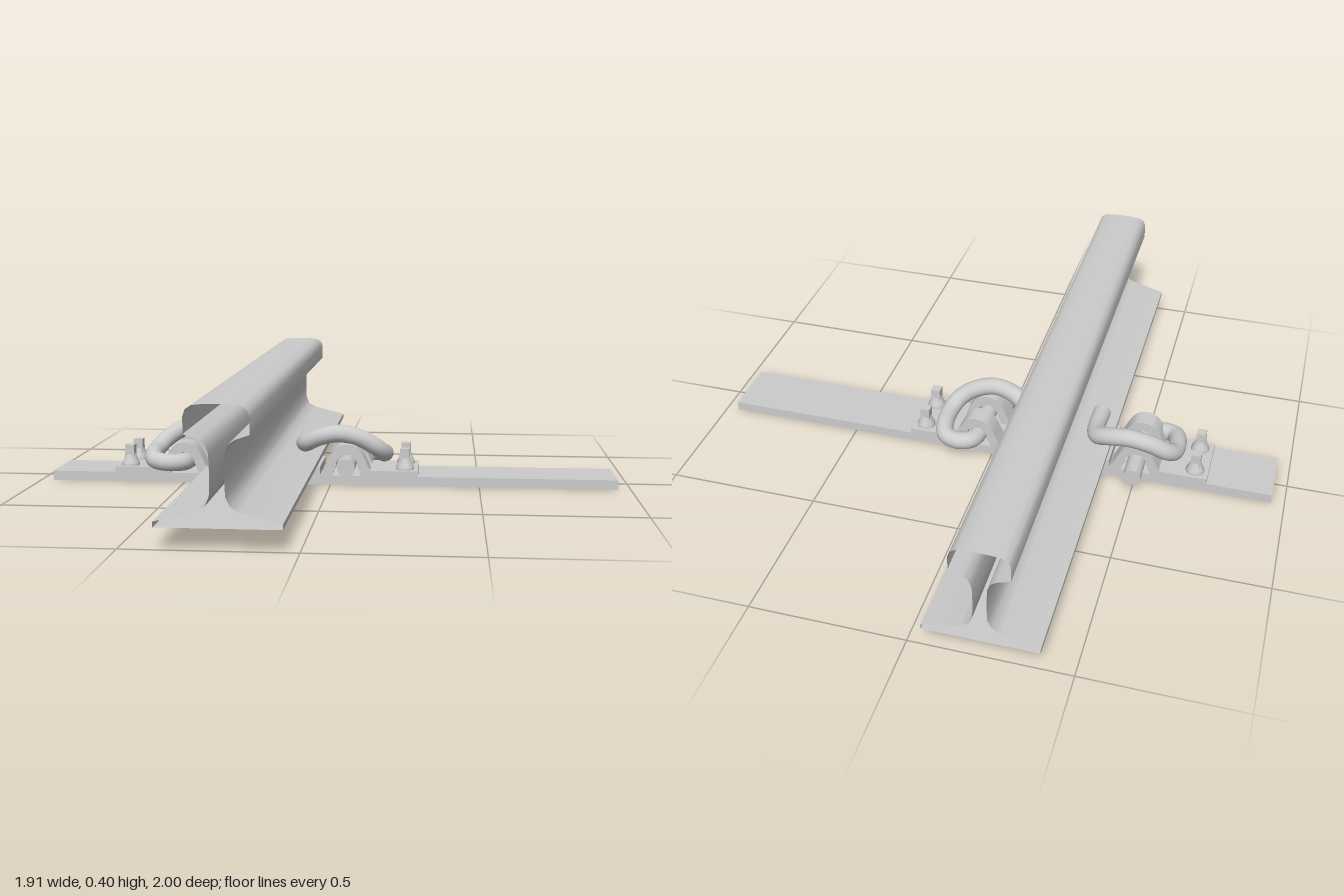
import * as THREE from 'three';
import { toCreasedNormals } from 'three/addons/utils/BufferGeometryUtils.js';

const grey = new THREE.MeshStandardMaterial({ color: 0xcccccc });
const greyOpen = new THREE.MeshStandardMaterial({ color: 0xcccccc, side: THREE.DoubleSide });
const RAIL_X = -0.2225;

function add(parent, name, geometry, x = 0, y = 0, z = 0, material = grey) {
  const mesh = new THREE.Mesh(geometry, material);
  mesh.name = name;
  mesh.position.set(x, y, z);
  parent.add(mesh);
  return mesh;
}

// Box given by its extents
function block(parent, name, x0, x1, y0, y1, z0, z1) {
  return add(parent, name, new THREE.BoxGeometry(x1 - x0, y1 - y0, z1 - z0),
    (x0 + x1) / 2, (y0 + y1) / 2, (z0 + z1) / 2);
}

// Rail: mirrored half profile swept along z, open at both ends
function railGeometry() {
  const s = new THREE.Shape();
  const half = m => [
    [0.1775, 0.062], [0.1775, 0.078], [0.06, 0.108], [0.034, 0.122], [0.022, 0.15],
    [0.02, 0.2], [0.022, 0.265], [0.032, 0.292], [0.05, 0.304], [0.09, 0.318],
    [0.09, 0.365], [0.083, 0.385], [0.066, 0.396], [0.03, 0.4],
  ].map(([x, y]) => new THREE.Vector2(m * x, y));
  s.setFromPoints([...half(1), ...half(-1).reverse()]);
  const full = new THREE.ExtrudeGeometry(s, { depth: 2, bevelEnabled: false });
  const walls = full.groups[1];
  const open = new THREE.BufferGeometry();
  const p = full.attributes.position.array;
  open.setAttribute('position', new THREE.BufferAttribute(
    p.slice(walls.start * 3, (walls.start + walls.count) * 3), 3));
  return toCreasedNormals(open.translate(0, 0, -1), 0.75);
}

// Strap that arches over the clip's pin, with flared feet
function archGeometry(depth) {
  const s = new THREE.Shape();
  s.moveTo(-0.095, 0.03);
  s.lineTo(-0.08, 0.048);
  s.bezierCurveTo(-0.055, 0.1, -0.045, 0.138, 0, 0.138);
  s.bezierCurveTo(0.045, 0.138, 0.055, 0.1, 0.08, 0.048);
  s.lineTo(0.095, 0.03);
  s.lineTo(0.05, 0.03);
  s.lineTo(0.036, 0.065);
  s.absarc(0, 0.068, 0.036, 0, Math.PI, false);
  s.lineTo(-0.05, 0.03);
  const g = new THREE.ExtrudeGeometry(s, { depth, bevelEnabled: false, curveSegments: 12 });
  return toCreasedNormals(g.translate(0, 0, -depth / 2), 0.6);
}

// Spring clip: one bent rod with flat ends
function springClip() {
  const clip = new THREE.Group();
  clip.name = 'springClip';
  const curve = new THREE.CatmullRomCurve3([
    [0.055, 0.065, 0.135], [0.055, 0.065, 0.03], [0.055, 0.065, -0.085], [0.072, 0.066, -0.125],
    [0.115, 0.068, -0.141], [0.158, 0.073, -0.125], [0.174, 0.083, -0.08], [0.174, 0.095, -0.005],
    [0.152, 0.12, 0.035], [0.1, 0.153, 0.055], [0.03, 0.17, 0.062], [-0.04, 0.156, 0.052],
    [-0.085, 0.132, 0.025], [-0.1, 0.122, -0.025], [-0.1, 0.12, -0.125],
  ].map(p => new THREE.Vector3(...p)));
  add(clip, 'clipRod', new THREE.TubeGeometry(curve, 110, 0.03, 18));
  for (const [t, dir] of [[0, -1], [1, 1]]) {
    const end = add(clip, 'clipRodEnd', new THREE.CircleGeometry(0.03, 18));
    end.position.copy(curve.getPointAt(t));
    end.quaternion.setFromUnitVectors(new THREE.Vector3(0, 0, 1),
      curve.getTangentAt(t).multiplyScalar(dir));
  }
  return clip;
}

// Shoulder: foot plate, two straps and two square-headed screws
function shoulder() {
  const g = new THREE.Group();
  g.name = 'shoulder';
  block(g, 'shoulderPlate', 0.11, 0.295, 0.03, 0.05, -0.1, 0.1);
  for (const z of [-0.067, 0.067]) add(g, 'shoulderArch', archGeometry(0.066), 0.055, 0, z);
  for (const z of [-0.06, 0.06]) {
    const flare = [[0.031, 0], [0.031, 0.008], [0.024, 0.02], [0.018, 0.04], [0, 0.04]];
    const collar = new THREE.LatheGeometry(flare.map(p => new THREE.Vector2(...p)), 20);
    add(g, 'screwCollar', toCreasedNormals(collar, 0.6), 0.25, 0.05, z);
    block(g, 'screwHead', 0.234, 0.266, 0.07, 0.122, z - 0.016, z + 0.016);
  }
  return g;
}

export function createModel() {
  const model = new THREE.Group();
  model.name = 'railFastening';

  block(model, 'tieBar', -0.957, 0.957, 0, 0.032, -0.1, 0.1);
  block(model, 'railSeat', -0.41, -0.035, 0.03, 0.061, -0.1, 0.1);
  add(model, 'rail', railGeometry(), RAIL_X, 0, 0, greyOpen);

  // Fastenings on both sides, the second turned half round
  for (const turned of [false, true]) {
    const base = shoulder();
    const clip = springClip();
    if (turned) {
      base.rotation.y = clip.rotation.y = Math.PI;
      base.position.x = clip.position.x = 2 * RAIL_X;
      clip.position.z = -0.04;
    }
    model.add(base, clip);
  }
  return model;
}
